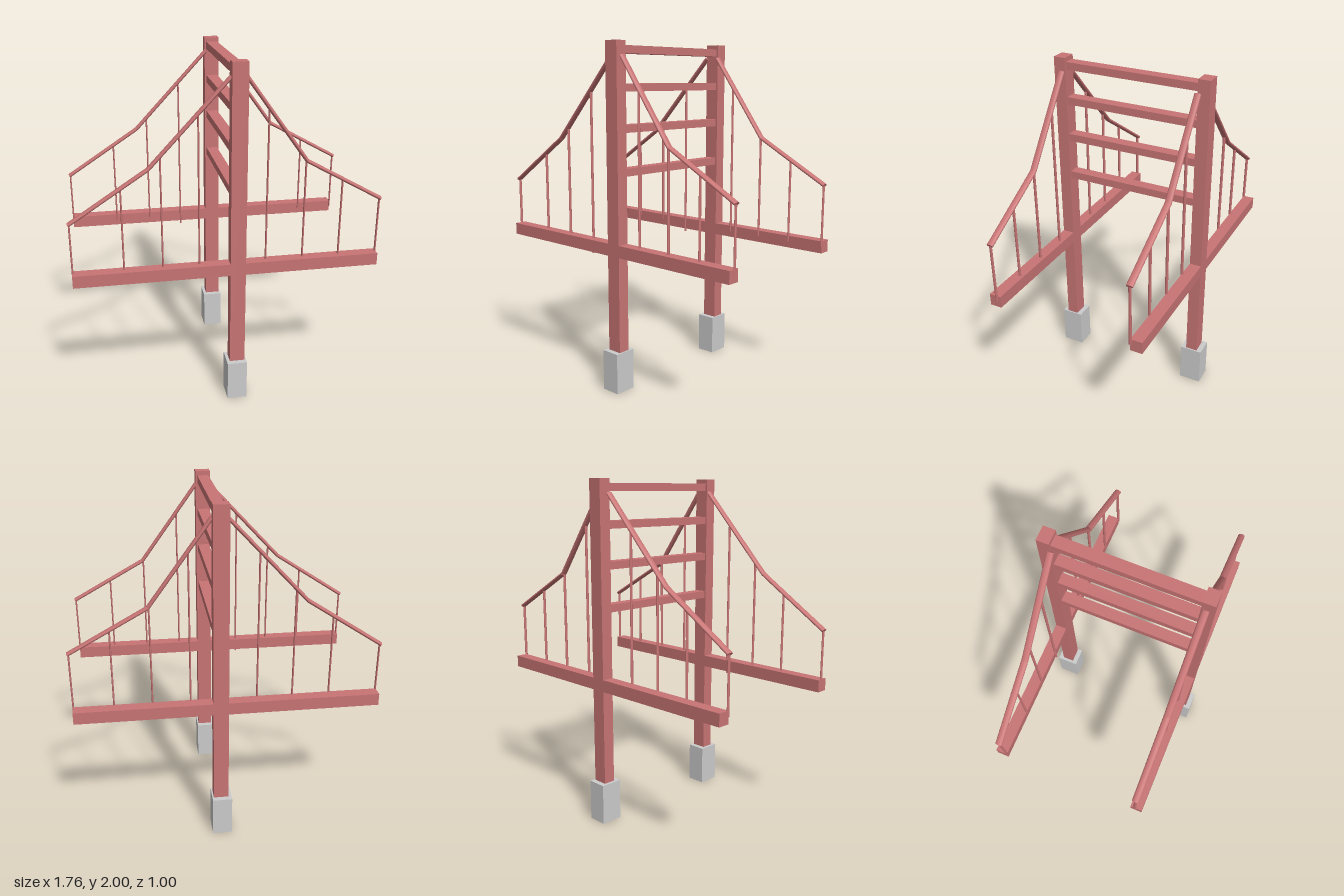
import * as THREE from 'three';

const red = new THREE.MeshStandardMaterial({ color: 0xc87474 });
const grey = new THREE.MeshStandardMaterial({ color: 0xcccccc });

// Box given by its low and high corners
function box(name, lo, hi, material = red) {
  const size = hi.map((v, i) => v - lo[i]);
  const mesh = new THREE.Mesh(new THREE.BoxGeometry(...size), material);
  mesh.position.set(...hi.map((v, i) => (v + lo[i]) / 2));
  mesh.name = name;
  return mesh;
}

// Oval rod between two points [x, y] in the plane z
function rod(name, a, b, z, halfThick, halfWide) {
  const dx = b[0] - a[0], dy = b[1] - a[1];
  const geo = new THREE.CylinderGeometry(1, 1, Math.hypot(dx, dy), 16);
  geo.scale(halfThick, 1, halfWide);
  const mesh = new THREE.Mesh(geo, red);
  mesh.rotation.z = Math.atan2(-dx, dy);
  mesh.position.set((a[0] + b[0]) / 2, (a[1] + b[1]) / 2, z);
  mesh.name = name;
  return mesh;
}

// Main cable outlines, from the outer end up to the tower
const cables = [
  [[-0.875, 1.16], [-0.44, 1.445], [0.005, 1.92]],
  [[0.87, 1.2], [0.43, 1.445], [0.085, 1.92]],
];
const hangers = [[-0.87, -0.59, -0.375, -0.17], [0.865, 0.64, 0.425, 0.21]];

// Height of a cable at x
function cableHeight([a, b, c], x) {
  const [p, q] = Math.abs(x) > Math.abs(b[0]) ? [a, b] : [b, c];
  return p[1] + (q[1] - p[1]) * (x - p[0]) / (q[0] - p[0]);
}

// One side of the bridge: footing, tower leg, deck beam, cables and hangers
function side(name, zMid, cableZ) {
  const g = new THREE.Group();
  g.name = name;
  g.add(box('footing', [-0.018, 0, zMid - 0.066], [0.097, 0.24, zMid + 0.066], grey));
  const base = new THREE.Mesh(new THREE.PlaneGeometry(0.115, 0.132), red);
  base.rotation.x = Math.PI / 2;
  base.position.set(0.0395, -0.001, zMid);
  base.name = 'footingUnderside';
  g.add(base);
  g.add(box('towerLeg', [0, 0.24, zMid - 0.035], [0.088, 2, zMid + 0.035]));
  g.add(box('deckBeam', [-0.873, 0.803, zMid - 0.035], [0.866, 0.874, zMid + 0.035]));
  cables.forEach((path, i) => {
    for (let k = 0; k < 2; k++) g.add(rod('mainCable', path[k], path[k + 1], cableZ, 0.011, 0.02));
    for (const x of hangers[i]) {
      const bottom = x === -0.17 ? 0.785 : 0.84;
      g.add(rod('hanger', [x, bottom], [x, cableHeight(path, x)], cableZ, 0.005, 0.009));
    }
  });
  return g;
}

export function createModel() {
  const model = new THREE.Group();
  model.name = 'suspensionBridgeTower';
  model.add(side('frontSide', 0.436, 0.427), side('backSide', -0.434, -0.4));
  // Crossbars joining the two tower legs
  for (const y of [1.278, 1.522, 1.748, 1.953]) {
    model.add(box('crossbar', [0.01, y - 0.022, -0.402], [0.077, y + 0.022, 0.404]));
  }
  return model;
}
